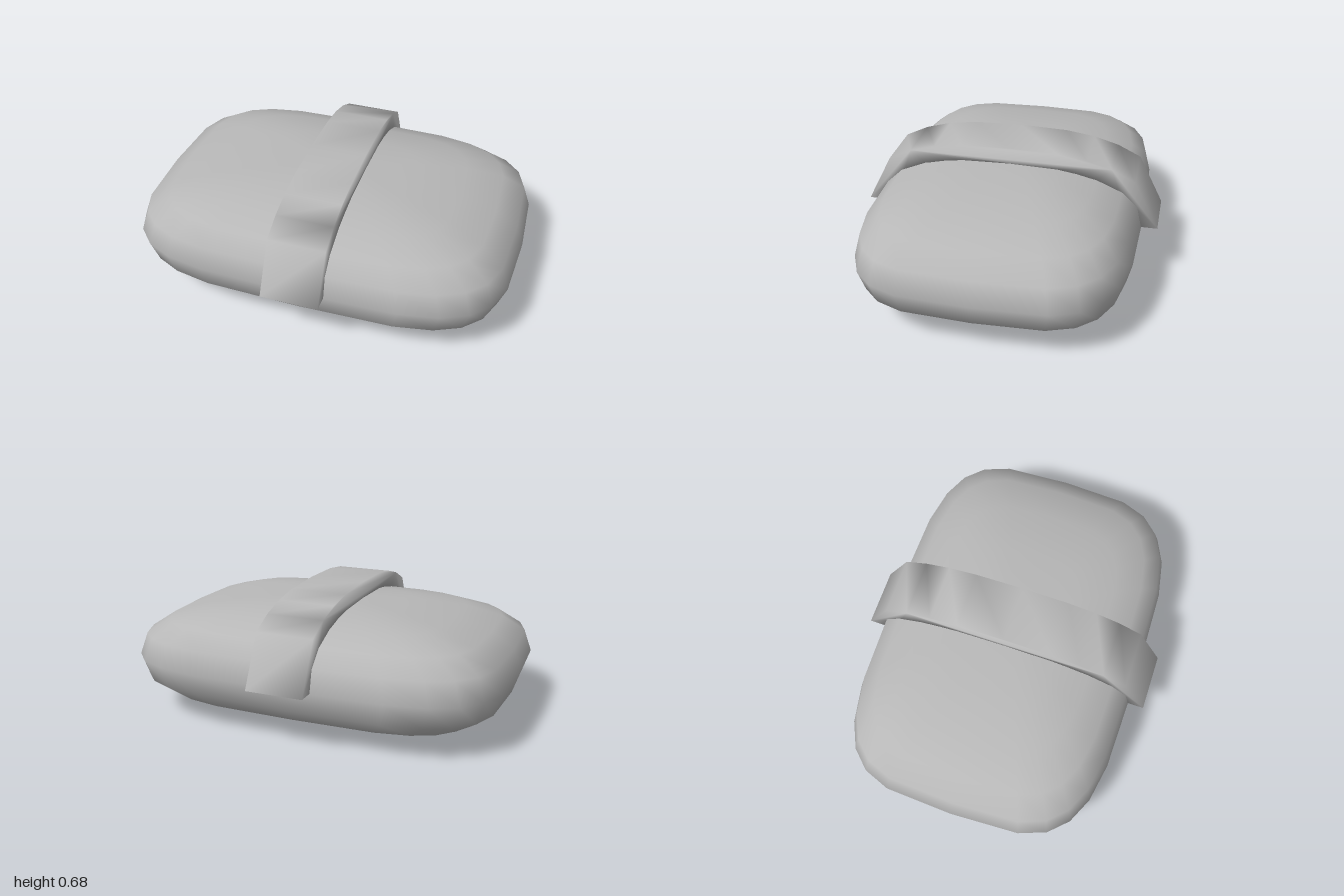
import * as THREE from 'three';
import { mergeVertices } from 'three/addons/utils/BufferGeometryUtils.js';

// signed power, used for the superellipsoid curves
const spow = (v, e) => (Math.abs(v) < 1e-9 ? 0 : Math.sign(v) * Math.abs(v) ** e);

// drop seams so that normals run smoothly across all edges
function smooth(geometry) {
  geometry.deleteAttribute('uv');
  geometry.deleteAttribute('normal');
  const merged = mergeVertices(geometry, 1e-4);
  merged.computeVertexNormals();
  return merged;
}

// pillow shape: squarish plan (exponent 0.5), softer upright profile (0.8)
function pillowGeometry(rx, ry, rz, segments, rings) {
  const geometry = new THREE.SphereGeometry(1, segments, rings);
  const pos = geometry.attributes.position;
  for (let i = 0; i < pos.count; i++) {
    const y = pos.getY(i);
    const r = Math.hypot(pos.getX(i), pos.getZ(i));
    const ringSize = r < 1e-6 ? 0 : spow(r, 0.8);
    const c = r < 1e-6 ? 0 : pos.getX(i) / r;
    const s = r < 1e-6 ? 0 : pos.getZ(i) / r;
    pos.setXYZ(i, rx * ringSize * spow(c, 0.5), ry * spow(y, 0.8), rz * ringSize * spow(s, 0.5));
  }
  return smooth(geometry);
}

export function createModel() {
  const group = new THREE.Group();
  const grey = new THREE.MeshStandardMaterial({ color: 0xb8b8b8 });
  grey.name = 'plain grey';

  const body = new THREE.Mesh(pillowGeometry(1, 0.296, 0.7, 24, 10), grey);
  body.name = 'body';
  body.position.y = 0.302;
  group.add(body);

  // strap: half profiles [z, y] from the end to the crown, mirrored front to back
  const outer = [[0.78, 0.305], [0.65, 0.56], [0.53, 0.618], [0.4, 0.655], [0.25, 0.676], [0, 0.684]];
  const inner = [[0.69, 0.305], [0.57, 0.5], [0.45, 0.552], [0.35, 0.575], [0.25, 0.59], [0, 0.597]];
  const arch = (half) => [...half, ...half.slice(0, -1).reverse().map(([z, y]) => [-z, y])];
  const outline = [...arch(outer), ...arch(inner).reverse()];
  const shape = new THREE.Shape(outline.map(([z, y]) => new THREE.Vector2(z, y)));
  const width = 0.296;
  const strapGeometry = new THREE.ExtrudeGeometry(shape, { depth: width, bevelEnabled: false });
  strapGeometry.translate(0, 0, -width / 2);
  strapGeometry.rotateY(-Math.PI / 2);
  const strap = new THREE.Mesh(smooth(strapGeometry), grey);
  strap.name = 'strap';
  group.add(strap);

  return group;
}
